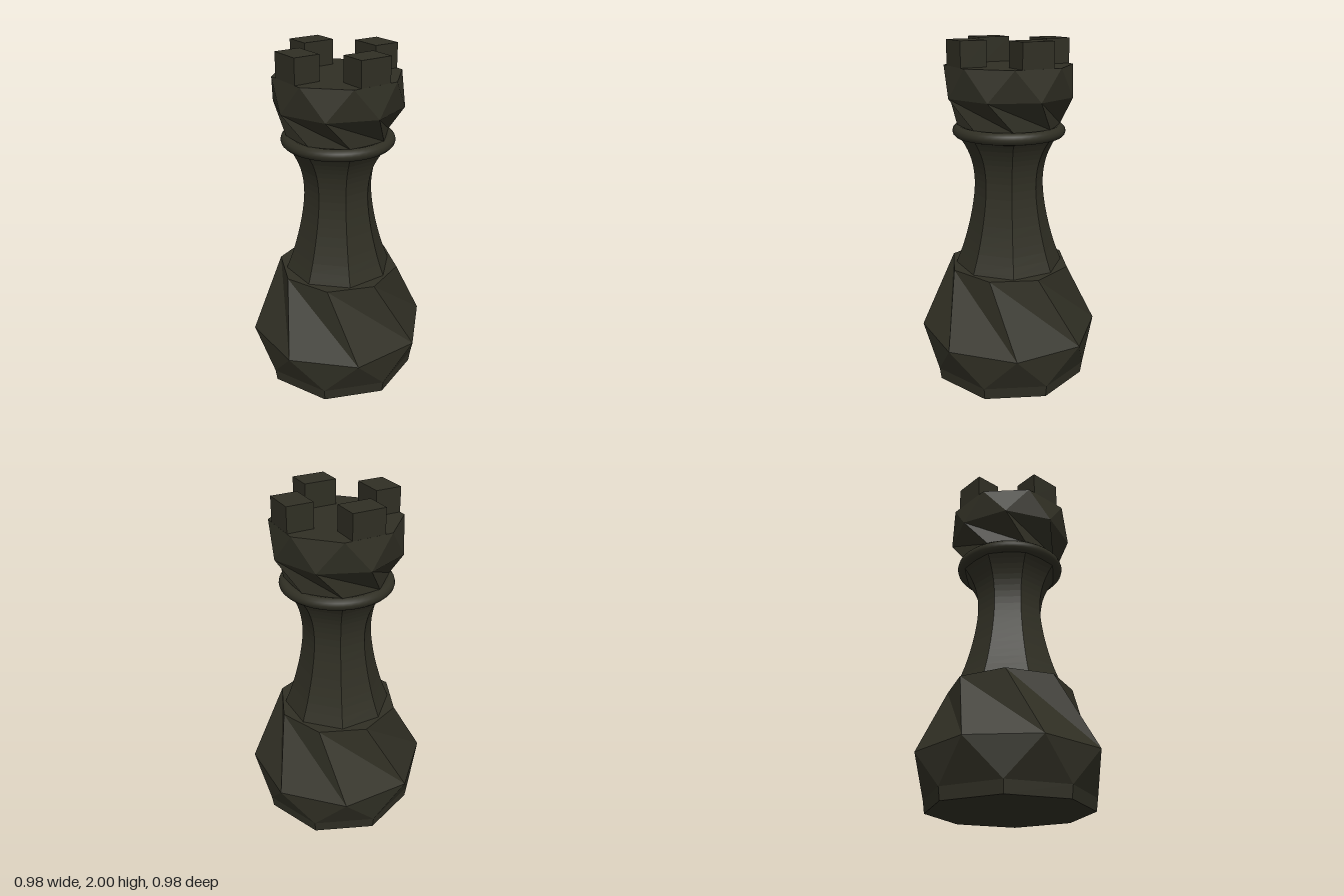
import * as THREE from 'three';

const SIDES = 8;

// Closed octagonal solid from rings { y, r, turn }, where turn counts half sides of twist.
// fold: true on a ring creases the band below it inwards, otherwise it bulges outwards.
function facetedSolid(rings) {
  const positions = [];
  const point = (ring, k) => {
    const a = ((k + ring.turn / 2) / SIDES) * Math.PI * 2;
    return [Math.cos(a) * ring.r, ring.y, Math.sin(a) * ring.r];
  };
  const tri = (a, b, c) => positions.push(...a, ...b, ...c);
  const first = rings[0];
  const last = rings[rings.length - 1];
  for (let k = 0; k < SIDES; k++) {
    for (let i = 0; i < rings.length - 1; i++) {
      const la = point(rings[i], k), lb = point(rings[i], k + 1);
      const ua = point(rings[i + 1], k), ub = point(rings[i + 1], k + 1);
      if (rings[i + 1].fold) {
        tri(la, ua, ub);
        tri(la, ub, lb);
      } else {
        tri(la, ua, lb);
        tri(lb, ua, ub);
      }
    }
    tri([0, first.y, 0], point(first, k), point(first, k + 1));
    tri([0, last.y, 0], point(last, k + 1), point(last, k));
  }
  const geometry = new THREE.BufferGeometry();
  geometry.setAttribute('position', new THREE.Float32BufferAttribute(positions, 3));
  geometry.computeVertexNormals();
  return geometry;
}

// Octagonal shaft, smooth along its height and creased between its sides
function shaftGeometry() {
  const curve = new THREE.SplineCurve([
    [0.32, 0.68], [0.268, 0.82], [0.222, 1.0], [0.2, 1.17],
    [0.212, 1.3], [0.25, 1.4], [0.305, 1.48],
  ].map(([r, y]) => new THREE.Vector2(r, y)));
  const rings = curve.getPoints(20).map((p) => ({ y: p.y, r: p.x, turn: 1 }));
  return facetedSolid(rings);
}

export function createModel() {
  const model = new THREE.Group();
  const darkWood = new THREE.MeshStandardMaterial({ color: 0x302f24 });
  darkWood.name = 'dark olive';

  const add = (name, geometry, parent = model) => {
    const mesh = new THREE.Mesh(geometry, darkWood);
    mesh.name = name;
    parent.add(mesh);
    return mesh;
  };

  // Twisted, faceted foot
  add('base', facetedSolid([
    { y: 0, r: 0.462, turn: 0 },
    { y: 0.07, r: 0.472, turn: 0 },
    { y: 0.285, r: 0.532, turn: 1 },
    { y: 0.69, r: 0.36, turn: 2, fold: true },
  ]));

  add('shaft', shaftGeometry());

  // Rounded collar under the crown
  const collar = add('collar', new THREE.TorusGeometry(0.29, 0.034, 12, 48));
  collar.rotation.x = Math.PI / 2;
  collar.position.y = 1.492;

  // Twisted, faceted crown
  add('crown', facetedSolid([
    { y: 1.49, r: 0.285, turn: 1 },
    { y: 1.525, r: 0.295, turn: 1 },
    { y: 1.69, r: 0.37, turn: 2, fold: true },
    { y: 1.86, r: 0.363, turn: 3 },
  ]));

  // Four battlements
  const battlements = new THREE.Group();
  battlements.name = 'battlements';
  model.add(battlements);
  for (let i = 0; i < 4; i++) {
    const geometry = new THREE.BoxGeometry(0.19, 0.16, 0.152);
    geometry.translate(0, 1.92, 0.259);
    add('battlement', geometry, battlements).rotation.y = (i * Math.PI) / 2;
  }

  return model;
}
